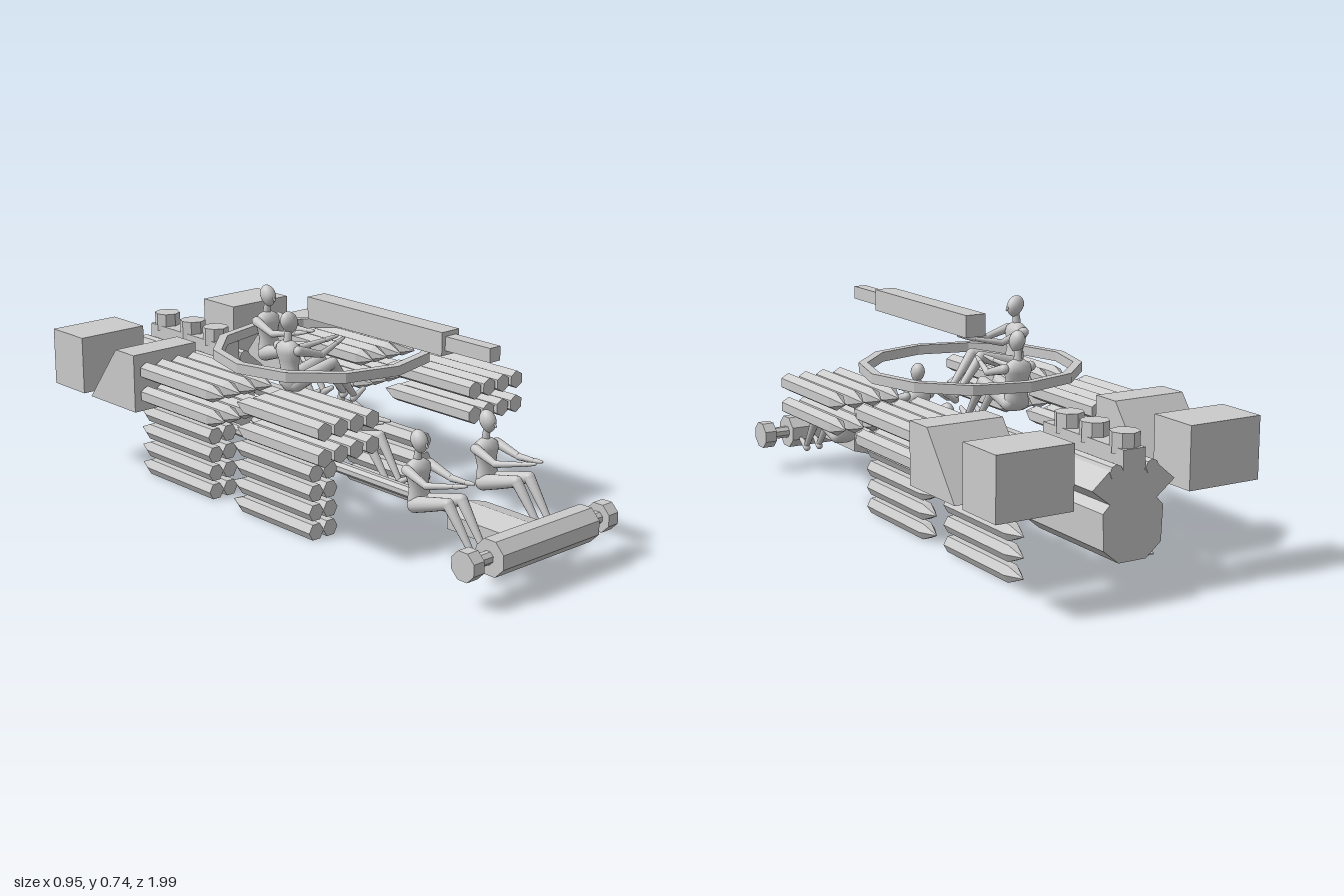
import * as THREE from 'three';

const flat = new THREE.MeshStandardMaterial({ color: 0xcccccc, flatShading: true });
const smooth = new THREE.MeshStandardMaterial({ color: 0xcccccc });
const V = (x, y, z) => new THREE.Vector3(x, y, z);
const CX = -0.014; // centre line of the drive train and turret

function add(parent, name, geo, x = 0, y = 0, z = 0, mat = flat) {
  const m = new THREE.Mesh(geo, mat);
  m.name = name;
  m.position.set(x, y, z);
  parent.add(m);
  return m;
}

// Prism lying along x or z
function prism(r, len, sides, axis, turn = 0) {
  const g = new THREE.CylinderGeometry(r, r, len, sides);
  g.rotateY(turn);
  return axis === 'x' ? g.rotateZ(Math.PI / 2) : g.rotateX(Math.PI / 2);
}

// Outline in x/y extruded along z, starting at z = 0
function extrude(points, depth) {
  const s = new THREE.Shape(points.map(p => new THREE.Vector2(p[0], p[1])));
  return new THREE.ExtrudeGeometry(s, { depth, bevelEnabled: false });
}

// Pointed six-sided round; dir is the z direction of the tip
function shellGeometry(dir, turn) {
  const pts = [[0, 0], [0.031, 0], [0.031, 0.365], [0, 0.43]].map(p => new THREE.Vector2(...p));
  return new THREE.LatheGeometry(pts, 6).rotateY(turn).rotateX(dir * Math.PI / 2);
}

// Tapered limb with rounded ends
function limb(parent, name, a, b, ra, rb) {
  const d = b.clone().sub(a), len = d.length(), pts = [];
  for (let i = 0; i <= 4; i++) {
    const t = -Math.PI / 2 + i * Math.PI / 8;
    pts.push(new THREE.Vector2(Math.max(0, ra * Math.cos(t)), ra * Math.sin(t)));
  }
  pts.push(new THREE.Vector2((ra + rb) * 0.53, len * 0.4));
  for (let i = 0; i <= 4; i++) {
    const t = i * Math.PI / 8;
    pts.push(new THREE.Vector2(Math.max(0, rb * Math.cos(t)), len + rb * Math.sin(t)));
  }
  const m = add(parent, name, new THREE.LatheGeometry(pts, 12), a.x, a.y, a.z, smooth);
  m.quaternion.setFromUnitVectors(V(0, 1, 0), d.normalize());
}

// Seated figure facing +z, origin at the hips
function person(parent, name, x, y, z, turn = 0) {
  const g = new THREE.Group();
  g.name = name;
  g.position.set(x, y, z);
  g.rotation.y = turn;
  parent.add(g);

  const profile = [[0, -0.028], [0.03, -0.024], [0.045, 0], [0.042, 0.025], [0.037, 0.05], [0.042, 0.08],
    [0.05, 0.105], [0.046, 0.125], [0.028, 0.138], [0.013, 0.144], [0, 0.146]].map(p => new THREE.Vector2(...p));
  const torso = add(g, 'torso', new THREE.LatheGeometry(profile, 18), 0, 0, 0, smooth);
  torso.scale.z = 0.66;
  torso.rotation.x = -0.08;
  limb(g, 'neck', V(0, 0.13, -0.012), V(0, 0.168, -0.008), 0.014, 0.012);

  // Head: egg narrowed towards the chin
  const egg = new THREE.SphereGeometry(1, 16, 12), p = egg.attributes.position;
  for (let i = 0; i < p.count; i++) {
    const k = 1 + 0.2 * Math.min(0, p.getY(i));
    p.setXYZ(i, p.getX(i) * k * 0.025, p.getY(i) * 0.037, p.getZ(i) * k * 0.032 - p.getY(i) * 0.006);
  }
  egg.computeVertexNormals();
  add(g, 'head', egg, 0, 0.2, -0.004, smooth);
  limb(g, 'nose', V(0, 0.2, 0.025), V(0, 0.188, 0.031), 0.003, 0.004);

  for (const s of [-1, 1]) {
    const shoulder = V(s * 0.05, 0.115, -0.008), elbow = V(s * 0.056, 0.088, 0.085);
    const wrist = V(s * 0.026, 0.105, 0.18);
    limb(g, 'upperArm', shoulder, elbow, 0.017, 0.011);
    limb(g, 'forearm', elbow, wrist, 0.012, 0.007);
    limb(g, 'hand', wrist, V(s * 0.016, 0.113, 0.217), 0.009, 0.005);
    const hip = V(s * 0.023, -0.002, 0.005), knee = V(s * 0.03, 0.042, 0.155), ankle = V(s * 0.026, -0.09, 0.255);
    limb(g, 'thigh', hip, knee, 0.027, 0.019);
    limb(g, 'shin', knee, ankle, 0.019, 0.01);
    limb(g, 'foot', V(s * 0.026, -0.1, 0.254), V(s * 0.029, -0.075, 0.296), 0.013, 0.008);
  }
}

export function createModel() {
  const model = new THREE.Group();
  const group = name => {
    const g = new THREE.Group();
    g.name = name;
    model.add(g);
    return g;
  };

  // Transmission across the front, with final drives and gearbox
  const drive = group('transmission');
  add(drive, 'transmissionCase', prism(0.0615, 0.437, 8, 'x', Math.PI / 8), CX, 0.142, 0.942);
  for (const s of [-1, 1]) {
    add(drive, 'outputShaft', prism(0.022, 0.08, 8, 'x', Math.PI / 8), CX + s * 0.255, 0.142, 0.937);
    add(drive, 'finalDrive', prism(0.05, 0.045, 8, 'x', Math.PI / 8), CX + s * 0.306, 0.142, 0.937);
  }
  const gearbox = add(drive, 'gearbox', prism(0.05, 0.29, 6, 'z'), CX, 0.138, 0.78);
  gearbox.scale.x = 2;
  add(drive, 'driveShaft', prism(0.021, 1.22, 8, 'z', Math.PI / 8), CX, 0.145, 0.04);

  // Engine with two cylinder banks, side tubes and top filters
  const engine = group('engine');
  const half = [[0.05, 0.12], [0.105, 0.165], [0.11, 0.28], [0.085, 0.305], [0.15, 0.355], [0.075, 0.418], [0.045, 0.395]];
  const outline = [...half, ...half.slice().reverse().map(q => [-q[0], q[1]])];
  add(engine, 'engineBlock', extrude(outline, 0.425), CX, 0, -0.98);
  add(engine, 'engineTop', new THREE.BoxGeometry(0.08, 0.08, 0.425), CX, 0.425, -0.7675);
  for (const s of [-1, 1]) {
    add(engine, 'manifold', prism(0.024, 0.43, 8, 'z'), CX + s * 0.065, 0.402, -0.7675);
  }
  for (const z of [-0.93, -0.775, -0.64]) {
    add(engine, 'filter', new THREE.CylinderGeometry(0.047, 0.047, 0.065, 8), CX, 0.478, z);
  }

  // Fuel tanks on both sides: a box behind a wedge
  const tanks = group('fuelTanks');
  const wedge = [[0.505, 0.31], [0.77, 0.31], [0.61, 0.513], [0.505, 0.513]];
  for (const s of [-1, 1]) {
    add(tanks, 'rearTank', new THREE.BoxGeometry(0.266, 0.203, 0.18), s * 0.343, 0.4115, -0.905);
    add(tanks, 'frontTank', extrude(wedge, 0.266).translate(0, 0, -0.133).rotateY(Math.PI / 2), s * 0.343, 0, 0);
  }

  // Upper ammunition racks, tips meeting in the middle
  const ammo = group('ammunition');
  const backward = shellGeometry(-1, 0), forward = shellGeometry(1, 0);
  for (const s of [-1, 1]) for (let i = 0; i < 4; i++) for (const y of [0.37, 0.455]) {
    const x = s * (0.232 + i * 0.067);
    add(ammo, 'upperShell', backward, x, y, 0.43);
    add(ammo, 'upperShell', forward, x, y, -0.49);
  }
  // Lower racks: two columns on the right, one on the left
  const lower = shellGeometry(-1, Math.PI / 6);
  for (const x of [-0.284, -0.223, 0.21]) for (let i = 0; i < 4; i++) for (const z of [0.22, -0.305]) {
    add(ammo, 'lowerShell', lower, x, 0.03 + i * 0.067, z);
  }

  // Turret ring and gun
  const turret = group('turret');
  const ringPts = [[0.345, 0], [0.375, 0], [0.375, 0.033], [0.345, 0.033], [0.345, 0]].map(q => new THREE.Vector2(...q));
  add(turret, 'turretRing', new THREE.LatheGeometry(ringPts, 12), CX + 0.002, 0.53, -0.055);
  add(turret, 'breech', new THREE.BoxGeometry(0.076, 0.076, 0.635), CX - 0.002, 0.69, 0.235);
  add(turret, 'barrel', new THREE.BoxGeometry(0.046, 0.046, 0.2), CX - 0.002, 0.69, 0.643);

  // Crew
  const crew = group('crew');
  person(crew, 'driver', -0.16, 0.2, 0.57);
  person(crew, 'radioOperator', 0.15, 0.2, 0.57);
  person(crew, 'gunner', 0.087, 0.2, -0.06);
  person(crew, 'loader', -0.275, 0.51, 0.085, Math.PI / 2);
  person(crew, 'commander', CX, 0.48, -0.335);

  return model;
}
